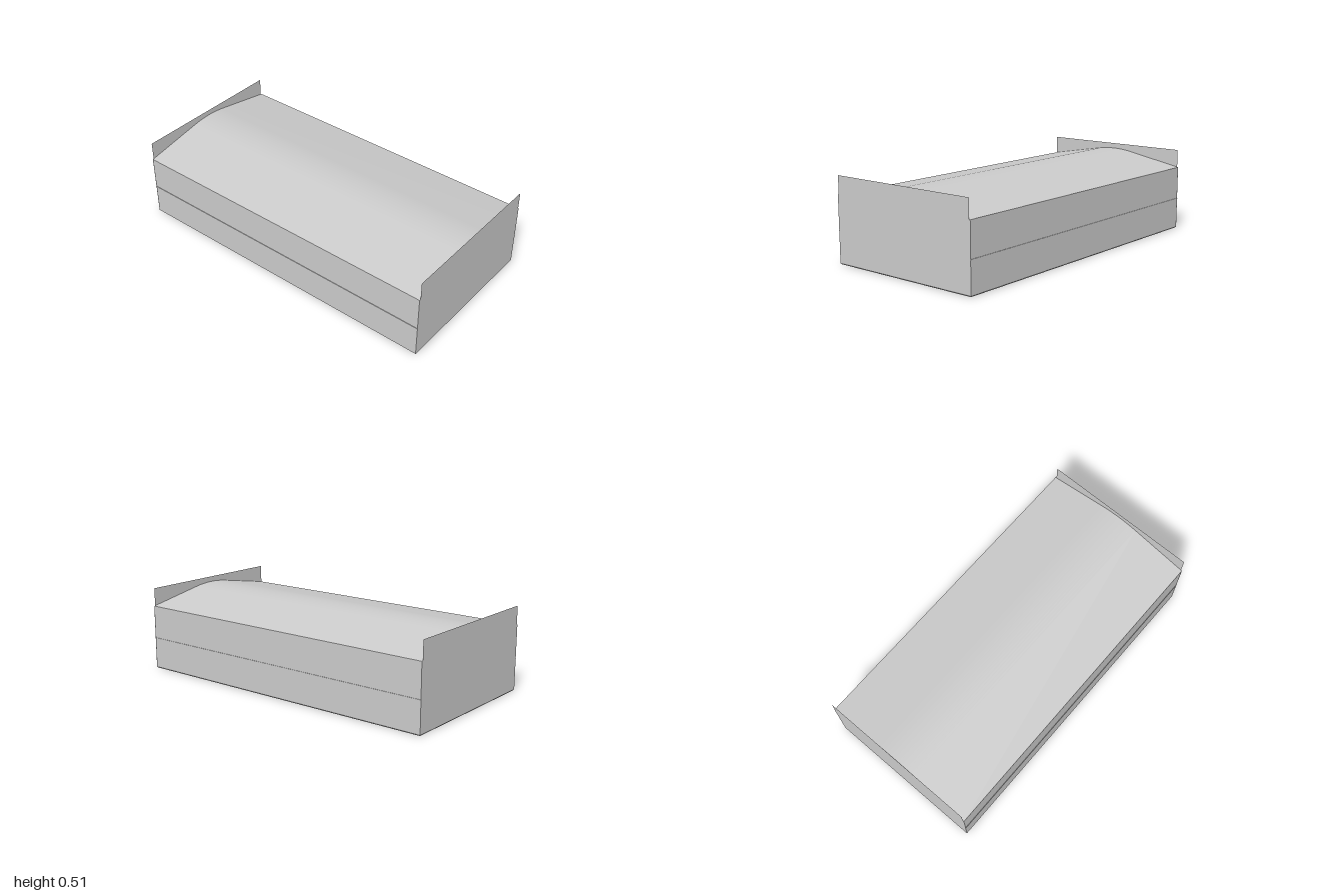
import * as THREE from 'three';
import { toCreasedNormals } from 'three/addons/utils/BufferGeometryUtils.js';

const HALF_W = 0.497, EAVE = 0.4, BASE = 0.006;

export function createModel() {
  const group = new THREE.Group();
  const solid = new THREE.MeshStandardMaterial({ color: 0xcccccc });
  const thin = new THREE.MeshStandardMaterial({ color: 0xcccccc, side: THREE.DoubleSide });
  const add = (name, geometry, material = solid) => {
    const mesh = new THREE.Mesh(geometry, material);
    mesh.name = name;
    group.add(mesh);
    return mesh;
  };

  // Long body with a shallow pitched top, rounded along the ridge
  const section = new THREE.Shape();
  section.moveTo(-HALF_W, BASE);
  section.lineTo(HALF_W, BASE);
  section.lineTo(HALF_W, EAVE);
  section.lineTo(0.13, 0.467);
  section.quadraticCurveTo(0, 0.491, -0.13, 0.467);
  section.lineTo(-HALF_W, EAVE);
  section.closePath();
  const body = new THREE.ExtrudeGeometry(section, { depth: 1.998, bevelEnabled: false, curveSegments: 16 });
  body.translate(0, 0, -0.999);
  add('body', toCreasedNormals(body, 0.15));

  // Chamfered bottom edge
  const foot = new THREE.BoxGeometry(HALF_W * 2, BASE, 2);
  const p = foot.attributes.position;
  for (let i = 0; i < p.count; i++) {
    if (p.getY(i) < 0) {
      p.setX(i, p.getX(i) - Math.sign(p.getX(i)) * 0.005);
      p.setZ(i, p.getZ(i) - Math.sign(p.getZ(i)) * 0.005);
    }
  }
  foot.translate(0, BASE / 2, 0);
  foot.computeVertexNormals();
  add('bottomEdge', foot);

  // Thin end panels, stepped in above the eaves
  const panel = new THREE.Shape([
    [-HALF_W, BASE], [HALF_W, BASE], [HALF_W, EAVE], [0.49, EAVE],
    [0.49, 0.512], [-0.49, 0.512], [-0.49, EAVE], [-HALF_W, EAVE],
  ].map(([x, y]) => new THREE.Vector2(x, y)));
  for (const side of [1, -1]) {
    const end = add(side > 0 ? 'frontPanel' : 'backPanel', new THREE.ShapeGeometry(panel), thin);
    end.position.z = side;
    if (side < 0) end.rotation.y = Math.PI;

    // Fine seam along each long side
    const seam = add(side > 0 ? 'leftSeam' : 'rightSeam', new THREE.BoxGeometry(0.004, 0.004, 2));
    seam.position.set(side * 0.498, 0.195, 0);
  }
  return group;
}
